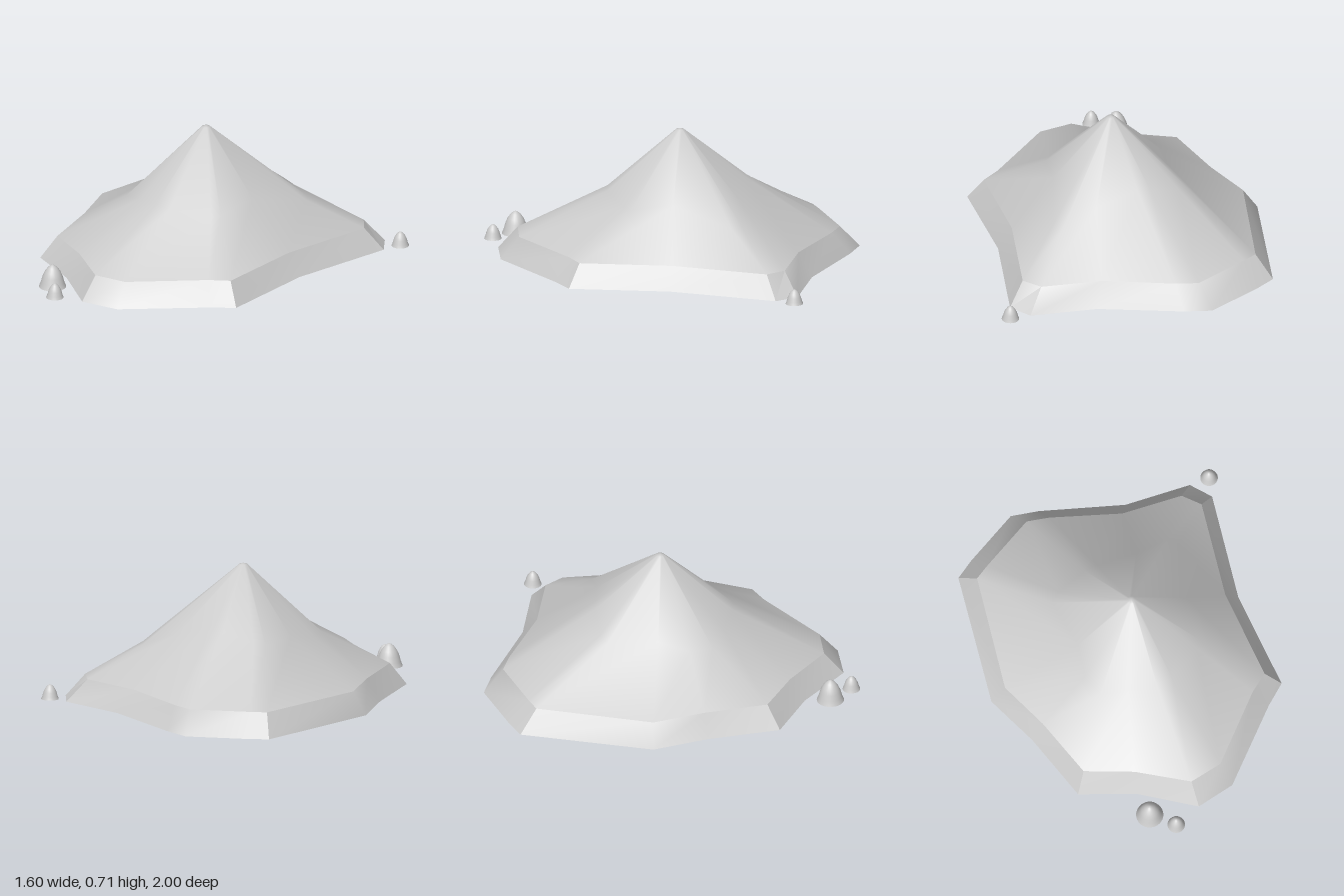
import * as THREE from 'three';
import { toCreasedNormals } from 'three/addons/utils/BufferGeometryUtils.js';

const material = new THREE.MeshStandardMaterial({ color: 0xcccccc });

// Radial ribs, from the back round by +x: shore x,z | rim x,z | shoulder x,y,z
const ribs = [
  [-0.31, -1.0, -0.26, -0.9, -0.12, 0.43, -0.42],
  [-0.16, -0.97, -0.14, -0.875, -0.05, 0.44, -0.42],
  [0.28, -0.83, 0.23, -0.75, 0.18, 0.37, -0.43],
  [0.64, -0.805, 0.56, -0.725, 0.38, 0.29, -0.47],
  [0.725, -0.7, 0.64, -0.64, 0.42, 0.29, -0.42],
  [0.64, -0.12, 0.565, -0.12, 0.33, 0.38, -0.09],
  [0.67, 0.42, 0.59, 0.375, 0.31, 0.34, 0.14],
  [0.56, 0.51, 0.495, 0.445, 0.28, 0.34, 0.18],
  [0.21, 0.855, 0.18, 0.76, 0.09, 0.37, 0.3],
  [0, 0.9, 0, 0.795, 0, 0.375, 0.31],
  [-0.28, 0.71, -0.26, 0.63, -0.15, 0.35, 0.27],
  [-0.57, 0.595, -0.51, 0.525, -0.29, 0.32, 0.22],
  [-0.68, 0.22, -0.61, 0.195, -0.33, 0.32, 0.1],
  [-0.8, -0.065, -0.72, -0.07, -0.3, 0.355, -0.07],
  [-0.7, -0.78, -0.625, -0.7, -0.34, 0.365, -0.34],
  [-0.6, -0.845, -0.55, -0.745, -0.29, 0.38, -0.38],
];
const rimHeight = 0.12;
const peak = [0.01, 0.715, -0.08];

const shore = ribs.map(r => [r[0], 0, r[1]]);
const rim = ribs.map(r => [r[2], rimHeight, r[3]]);
const shoulder = ribs.map(r => [r[4], r[5], r[6]]);
const summit = shoulder.map(([x, , z]) => {
  const dx = x - peak[0], dz = z - peak[2], k = 0.022 / Math.hypot(dx, dz);
  return [peak[0] + dx * k, 0.708, peak[2] + dz * k];
});

// Skin between successive closed rings, from low to high
function loft(rings) {
  const points = [];
  for (let k = 0; k + 1 < rings.length; k++) {
    const low = rings[k], high = rings[k + 1];
    low.forEach((a, i) => {
      const j = (i + 1) % low.length;
      points.push(low[j], a, high[i], low[j], high[i], high[j]);
    });
  }
  return points;
}

// Fan from a ring to a centre point
function fan(ring, centre, facingUp) {
  return ring.flatMap((a, i) => {
    const b = ring[(i + 1) % ring.length];
    return facingUp ? [b, a, centre] : [a, b, centre];
  });
}

function addSkin(group, name, points, crease) {
  const geometry = new THREE.BufferGeometry();
  geometry.setAttribute('position', new THREE.Float32BufferAttribute(points.flat(), 3));
  const mesh = new THREE.Mesh(toCreasedNormals(geometry, crease), material);
  mesh.name = name;
  group.add(mesh);
}

export function createModel() {
  const model = new THREE.Group();
  model.name = 'mountainIsland';

  // Mountain: smooth slopes above a bevelled edge, with a flat underside
  addSkin(model, 'mountainSlopes',
    [...loft([rim, shoulder, summit]), ...fan(summit, peak, true)], 1.0);
  addSkin(model, 'bevelledEdge', loft([shore, rim]), 0.6);
  addSkin(model, 'underside', fan(shore, [0, 0, 0], false), 0.1);

  // Small pointed rocks beside the island
  const profile = [[0, 0], [1, 0], [1, 0], [0.86, 0.2], [0.75, 0.45], [0.58, 0.68], [0.35, 0.87], [0.15, 0.96], [0, 1]]
    .map(([r, y]) => new THREE.Vector2(r, y));
  const rockGeometry = toCreasedNormals(new THREE.LatheGeometry(profile, 24), 0.8);
  for (const [x, z, radius, height] of [
    [-0.26, 0.845, 0.073, 0.125],
    [-0.15, 0.95, 0.047, 0.08],
    [0.75, -0.805, 0.047, 0.08],
  ]) {
    const rock = new THREE.Mesh(rockGeometry, material);
    rock.name = 'rock';
    rock.position.set(x, 0, z);
    rock.scale.set(radius, height, radius);
    model.add(rock);
  }
  return model;
}
